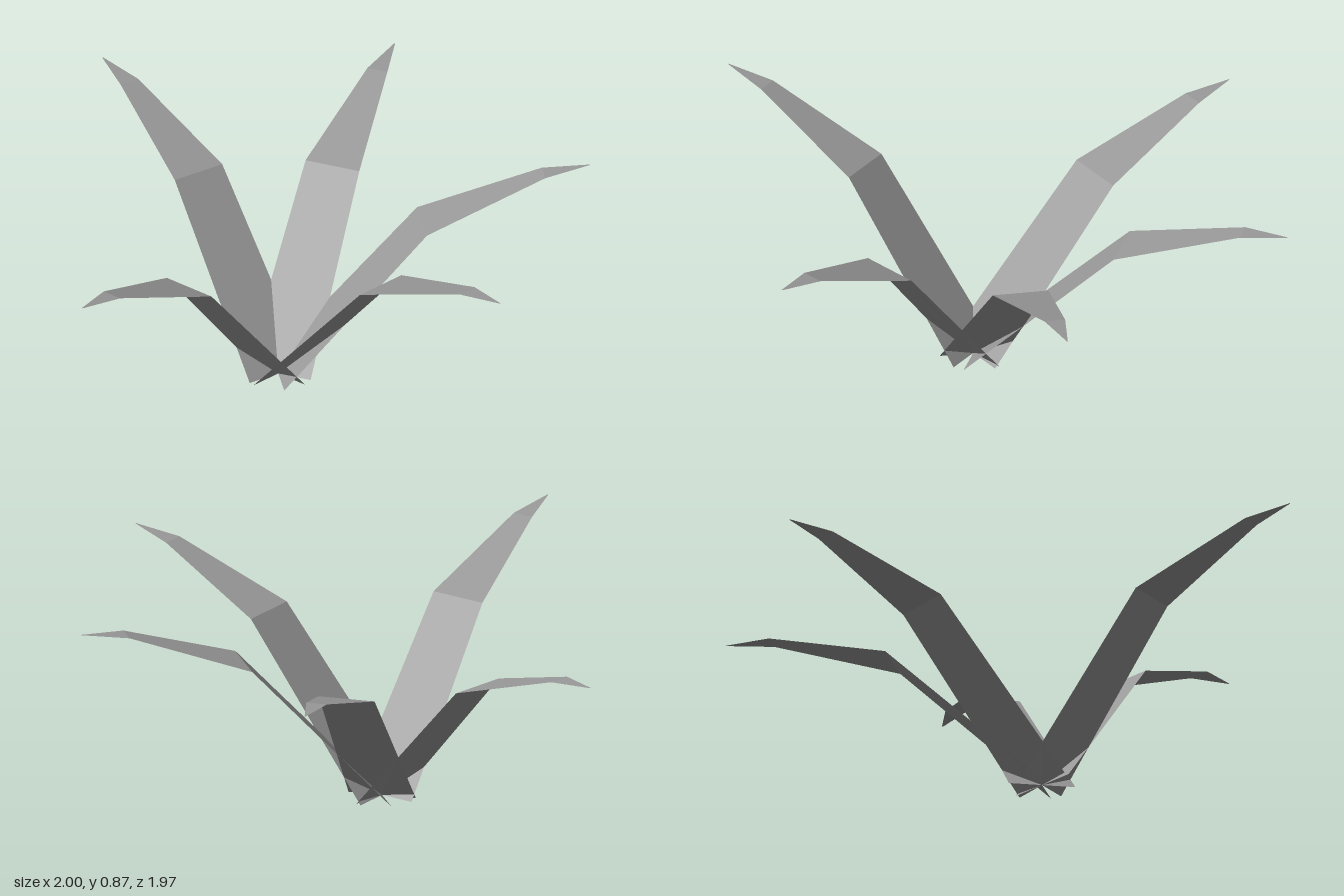
import * as THREE from 'three';

// Leaf cross-sections from base to tip: distance out, height, half width
const SECTIONS = [
  [0, 0, 0.13],
  [0.54, 0.611, 0.108],
  [1.0, 0.78, 0.04],
  [1.177, 0.8, 0.002],
];

// Direction of each leaf in degrees, from +x towards +z
const LEAVES = {
  leftLeaf: -4.6,
  frontLeftLeaf: 51.1,
  frontRightLeaf: 134.6,
  backRightLeaf: 240.8,
  backLeftLeaf: 296.6,
};

// A flat strip along +x, bent at two creases and tapering to a point
function makeLeafGeometry() {
  const geometry = new THREE.PlaneGeometry(1, 1, 1, SECTIONS.length - 1);
  SECTIONS.forEach(([out, height, halfWidth], row) => {
    geometry.attributes.position.setXYZ(row * 2, out, height, halfWidth);
    geometry.attributes.position.setXYZ(row * 2 + 1, out, height, -halfWidth);
  });
  geometry.computeVertexNormals();
  return geometry;
}

export function createModel() {
  const geometry = makeLeafGeometry();
  const material = new THREE.MeshStandardMaterial({
    color: 0x999999,
    flatShading: true,
    side: THREE.DoubleSide,
  });

  // The whole crown leans slightly backwards
  const crown = new THREE.Group();
  crown.name = 'leafCrown';
  crown.position.set(-0.19, 0.009, 0.115);
  crown.rotation.set(-0.063, 0, -0.018);

  for (const [name, degrees] of Object.entries(LEAVES)) {
    const leaf = new THREE.Mesh(geometry, material);
    leaf.name = name;
    leaf.rotation.y = -THREE.MathUtils.degToRad(degrees);
    crown.add(leaf);
  }

  const plant = new THREE.Group();
  plant.name = 'leafyPlant';
  plant.add(crown);
  return plant;
}
